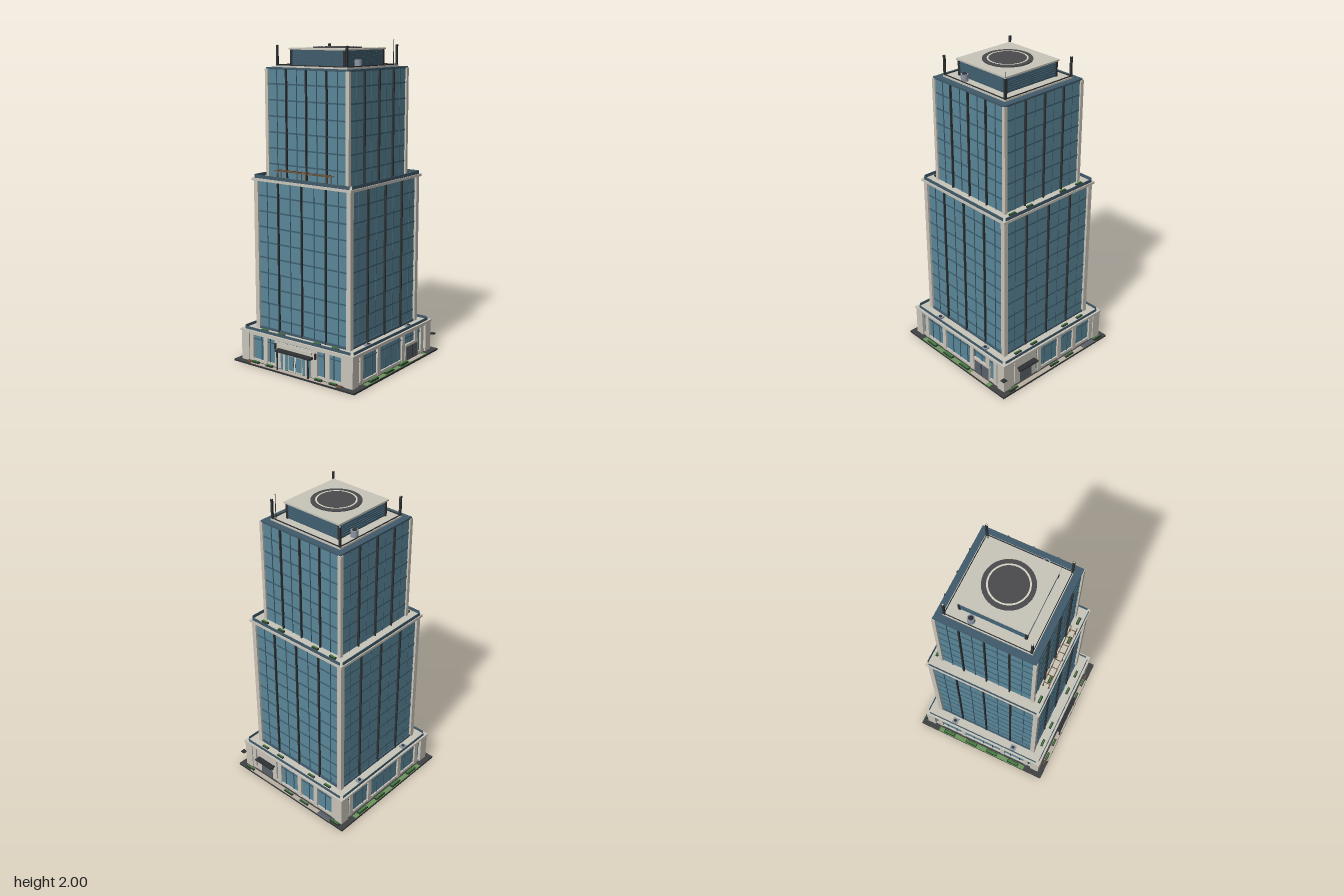
import * as THREE from 'three';

const mat = (color) => new THREE.MeshStandardMaterial({ color });
const M = {
  glass: mat(0x5a8799), band: mat(0x3f5f70), navy: mat(0x405a6a), stone: mat(0xc9c5bb),
  dark: mat(0x2e3234), asphalt: mat(0x404143), grass: mat(0x6b965c), leaf: mat(0x46803f),
  planter: mat(0x2c3a2e), paving: mat(0xbab0a2), metal: mat(0x8e97a3), wood: mat(0x6d5038),
  pad: mat(0x4b4b4e), door: mat(0x59616a), white: mat(0xd8d6c8),
};

function add(parent, name, geo, m, x, y, z) {
  const mesh = new THREE.Mesh(geo, m);
  mesh.name = name;
  mesh.position.set(x, y, z);
  parent.add(mesh);
  return mesh;
}
// Box standing on height y
const box = (p, name, m, w, h, d, x, y, z) => add(p, name, new THREE.BoxGeometry(w, h, d), m, x, y + h / 2, z);
const cyl = (p, name, m, r, h, x, y, z, r2 = r) =>
  add(p, name, new THREE.CylinderGeometry(r2, r, h, 32), m, x, y + h / 2, z);

function group(parent, name) {
  const g = new THREE.Group();
  g.name = name;
  parent.add(g);
  return g;
}
// Builds a facade facing +z, repeated on all four sides: 0 front, 1 +x, 2 back, 3 -x
function fourSides(parent, name, build) {
  for (let i = 0; i < 4; i++) {
    const g = group(parent, name);
    g.rotation.y = i * Math.PI / 2;
    build(g, i);
  }
}
function corners(c, fn) {
  for (const sx of [-1, 1]) for (const sz of [-1, 1]) fn(sx * c, sz * c);
}
function planter(p, w, d, x, y, z, h = 0.012) {
  box(p, 'planterBox', M.planter, w, h, d, x, y, z);
  box(p, 'planterHedge', M.leaf, w - 0.008, h, d - 0.008, x, y + 0.005, z);
}

// Glazed tower stage with floor bands, mullions, fins and corner piers
function towerStage(parent, name, half, y0, y1, bay, pier, firstBand) {
  const g = group(parent, name);
  const h = y1 - y0;
  box(g, 'glassBody', M.glass, half * 2, h, half * 2, 0, y0, 0);
  for (let y = firstBand; y > y0 + 0.02; y -= 0.0965)
    box(g, 'floorBand', M.band, half * 2 + 0.006, 0.009, half * 2 + 0.006, 0, y - 0.0045, 0);
  fourSides(g, 'facade', (f) => {
    for (let i = -3; i <= 3; i++) {
      const fin = i % 2 === 0;
      box(f, fin ? 'fin' : 'mullion', fin ? M.dark : M.band,
        fin ? 0.008 : 0.003, h, fin ? 0.026 : 0.01, i * bay, y0, half);
    }
  });
  corners(half, (x, z) => box(g, 'cornerPier', M.stone, pier, h, pier, x, y0, z));
  return g;
}

function buildGround(root) {
  const g = group(root, 'ground');
  box(g, 'baseSlab', M.dark, 0.93, 0.009, 0.93, 0, 0, 0);
  box(g, 'roadSurface', M.asphalt, 0.93, 0.003, 0.93, 0, 0.009, 0);
  box(g, 'frontPaving', M.paving, 0.66, 0.003, 0.03, 0, 0.012, 0.449);
  box(g, 'backPaving', M.paving, 0.72, 0.003, 0.03, 0, 0.012, -0.449);
  box(g, 'backRamp', M.door, 0.11, 0.003, 0.03, -0.305, 0.013, -0.449);
  box(g, 'leftLawn', M.grass, 0.03, 0.004, 0.66, 0.449, 0.012, 0);
  box(g, 'rightLawn', M.grass, 0.03, 0.004, 0.66, -0.449, 0.012, 0);
  box(g, 'serviceDrive', M.paving, 0.03, 0.003, 0.15, 0.449, 0.0145, -0.225);
  for (const x of [-0.30, -0.19, 0.19, 0.30]) planter(g, 0.052, 0.016, x, 0.013, 0.446);
  for (const x of [-0.39, -0.125, 0.012, 0.37]) planter(g, 0.07, 0.014, x, 0.013, -0.451);
  for (const z of [-0.25, -0.08, 0.08, 0.245]) {
    planter(g, 0.022, 0.083, -0.449, 0.013, z);
    if (z > -0.2) planter(g, 0.022, 0.083, 0.449, 0.013, z);
  }
  for (const x of [-0.348, 0.348]) box(g, 'bench', M.wood, 0.035, 0.012, 0.01, x, 0.012, 0.445);
}

function buildPodium(root) {
  const g = group(root, 'podium');
  box(g, 'podiumGlass', M.glass, 0.82, 0.18, 0.82, 0, 0.012, 0);
  box(g, 'plinth', M.stone, 0.84, 0.018, 0.84, 0, 0.012, 0);
  box(g, 'topBand', M.stone, 0.85, 0.014, 0.85, 0, 0.186, 0);
  box(g, 'cornice', M.stone, 0.87, 0.013, 0.87, 0, 0.2, 0);
  corners(0.4, (x, z) => box(g, 'cornerBlock', M.stone, 0.06, 0.188, 0.06, x, 0.012, z));
  // Column positions along each side's own horizontal axis
  const columns = [
    [-0.355, -0.24, -0.15, 0.15, 0.24, 0.355],
    [-0.33, -0.15, 0.12, 0.27, 0.34],
    [-0.355, -0.12, 0.06, 0.2, 0.355],
    [-0.33, -0.15, 0.15, 0.33],
  ];
  fourSides(g, 'podiumFacade', (f, i) => {
    for (const x of columns[i]) box(f, 'column', M.stone, 0.03, 0.175, 0.022, x, 0.012, 0.412);
    for (let k = -5; k <= 5; k++) box(f, 'windowMullion', M.band, 0.004, 0.16, 0.008, k * 0.07, 0.028, 0.411);
    box(f, 'transom', M.band, 0.76, 0.006, 0.01, 0, 0.155, 0.411);
    box(f, 'roofRail', M.navy, 0.81, 0.018, 0.004, 0, 0.212, 0.42);
  });
  // Roof garden and cooling units
  for (const x of [-0.275, -0.138, 0.138, 0.275]) for (const z of [-0.39, 0.39])
    planter(g, 0.05, 0.016, x, 0.213, z, 0.008);
  for (const x of [-0.394, 0.394]) for (const z of [-0.22, 0.22]) {
    box(g, 'coolingUnit', M.metal, 0.038, 0.01, 0.038, x, 0.213, z);
    cyl(g, 'coolingFan', M.dark, 0.01, 0.004, x, 0.223, z);
  }
}

function buildEntrances(root) {
  const g = group(root, 'mainEntrance');
  box(g, 'entranceSurround', M.stone, 0.27, 0.165, 0.02, 0, 0.012, 0.413);
  box(g, 'entranceGlass', M.glass, 0.23, 0.12, 0.004, 0, 0.014, 0.425);
  for (const s of [-1, 1]) {
    box(g, 'doorLeaf', M.white, 0.054, 0.105, 0.005, s * 0.029, 0.014, 0.427);
    box(g, 'doorPane', M.glass, 0.04, 0.09, 0.002, s * 0.029, 0.022, 0.4298);
    box(g, 'doorHandle', M.dark, 0.003, 0.025, 0.004, s * 0.008, 0.05, 0.432);
    box(g, 'sideFrame', M.stone, 0.014, 0.12, 0.012, s * 0.085, 0.012, 0.426);
    cyl(g, 'canopyPost', M.dark, 0.005, 0.12, s * 0.12, 0.012, 0.455);
    box(g, 'wallLamp', M.dark, 0.01, 0.035, 0.014, s * 0.155, 0.135, 0.428);
  }
  box(g, 'canopy', M.dark, 0.27, 0.012, 0.045, 0, 0.13, 0.4385);
  box(g, 'canopyFascia', M.stone, 0.25, 0.014, 0.014, 0, 0.155, 0.425);

  const b = group(root, 'backEntrance');
  box(b, 'backWall', M.stone, 0.18, 0.17, 0.02, 0.24, 0.014, -0.411);
  box(b, 'backDoor', M.door, 0.1, 0.1, 0.006, 0.238, 0.014, -0.421);
  box(b, 'backCanopy', M.dark, 0.145, 0.01, 0.04, 0.238, 0.125, -0.44);
  for (const x of [0.18, 0.296]) box(b, 'canopyBracket', M.dark, 0.005, 0.03, 0.01, x, 0.097, -0.425);

  const s = group(root, 'serviceEntrance');
  box(s, 'serviceFrame', M.stone, 0.016, 0.105, 0.15, 0.416, 0.012, -0.215);
  box(s, 'serviceDoor', M.door, 0.006, 0.088, 0.13, 0.424, 0.014, -0.215);
  box(s, 'doorSeam', M.dark, 0.004, 0.088, 0.004, 0.4265, 0.014, -0.215);
  box(s, 'serviceHood', M.dark, 0.03, 0.006, 0.03, 0.44, 0.112, -0.44);
}

function buildTerrace(root) {
  const g = group(root, 'terrace');
  box(g, 'terraceSlab', M.stone, 0.75, 0.016, 0.75, 0, 1.152, 0);
  fourSides(g, 'terraceRail', (f) => box(f, 'railPanel', M.navy, 0.71, 0.02, 0.004, 0, 1.168, 0.367));
  for (const x of [-0.275, -0.138, 0.138, 0.275]) for (const z of [-0.337, 0.337])
    planter(g, 0.046, 0.016, x, 1.168, z, 0.01);
  // Pergola
  const p = group(g, 'pergola');
  for (const z of [0.317, 0.354]) {
    box(p, 'pergolaBeam', M.wood, 0.42, 0.005, 0.004, 0, 1.222, z);
    for (const x of [-0.19, 0, 0.19]) box(p, 'pergolaPost', M.wood, 0.004, 0.055, 0.004, x, 1.168, z);
  }
  for (let i = 0; i < 8; i++) box(p, 'pergolaSlat', M.wood, 0.004, 0.004, 0.045, -0.184 + i * 0.0525, 1.226, 0.335);
}

function buildRoof(root) {
  const g = group(root, 'roof');
  box(g, 'roofRim', M.navy, 0.612, 0.012, 0.612, 0, 1.822, 0);
  box(g, 'roofDeck', M.stone, 0.53, 0.012, 0.53, 0, 1.832, 0);
  fourSides(g, 'roofEdge', (f) => box(f, 'deckCurb', M.dark, 0.51, 0.006, 0.004, 0, 1.844, 0.258));
  corners(0.257, (x, z) => {
    box(g, 'cornerMast', M.dark, 0.012, 0.12, 0.012, x, 1.844, z);
    box(g, 'mastCap', M.white, 0.008, 0.003, 0.008, x, 1.964, z);
  });
  cyl(g, 'antenna', M.dark, 0.003, 0.15, 0.243, 1.844, -0.243, 0.0015);
  add(g, 'antennaTip', new THREE.SphereGeometry(0.004, 10, 8), M.white, 0.243, 1.996, -0.243);
  for (const s of [-1, 1]) {
    cyl(g, 'ventDrum', M.metal, 0.022, 0.04, s * 0.232, 1.844, s * 0.11);
    cyl(g, 'ventCap', M.dark, 0.015, 0.008, s * 0.232, 1.884, s * 0.11, 0.01);
  }
  // Penthouse with louvres
  box(g, 'penthouse', M.navy, 0.392, 0.1, 0.392, 0, 1.84, 0);
  for (let i = 0; i < 6; i++) box(g, 'louvre', M.band, 0.402, 0.005, 0.402, 0, 1.856 + i * 0.013, 0);
  corners(0.196, (x, z) => box(g, 'penthousePier', M.dark, 0.014, 0.1, 0.014, x, 1.84, z));
  box(g, 'penthouseRoof', M.stone, 0.42, 0.01, 0.42, 0, 1.937, 0);
  // Landing pad
  cyl(g, 'landingPad', M.pad, 0.147, 0.006, 0, 1.947, 0);
  const ring = add(g, 'padRing', new THREE.RingGeometry(0.11, 0.12, 64), M.white, 0, 1.954, 0);
  ring.rotation.x = -Math.PI / 2;
}

export function createModel() {
  const root = new THREE.Group();
  root.name = 'officeTower';
  buildGround(root);
  buildPodium(root);
  buildEntrances(root);
  const lower = towerStage(root, 'lowerTower', 0.35, 0.21, 1.155, 0.09, 0.03, 1.06);
  box(lower, 'lowerSill', M.navy, 0.72, 0.014, 0.72, 0, 0.213, 0);
  buildTerrace(root);
  towerStage(root, 'upperTower', 0.3, 1.165, 1.826, 0.075, 0.022, 1.737);
  buildRoof(root);
  return root;
}
